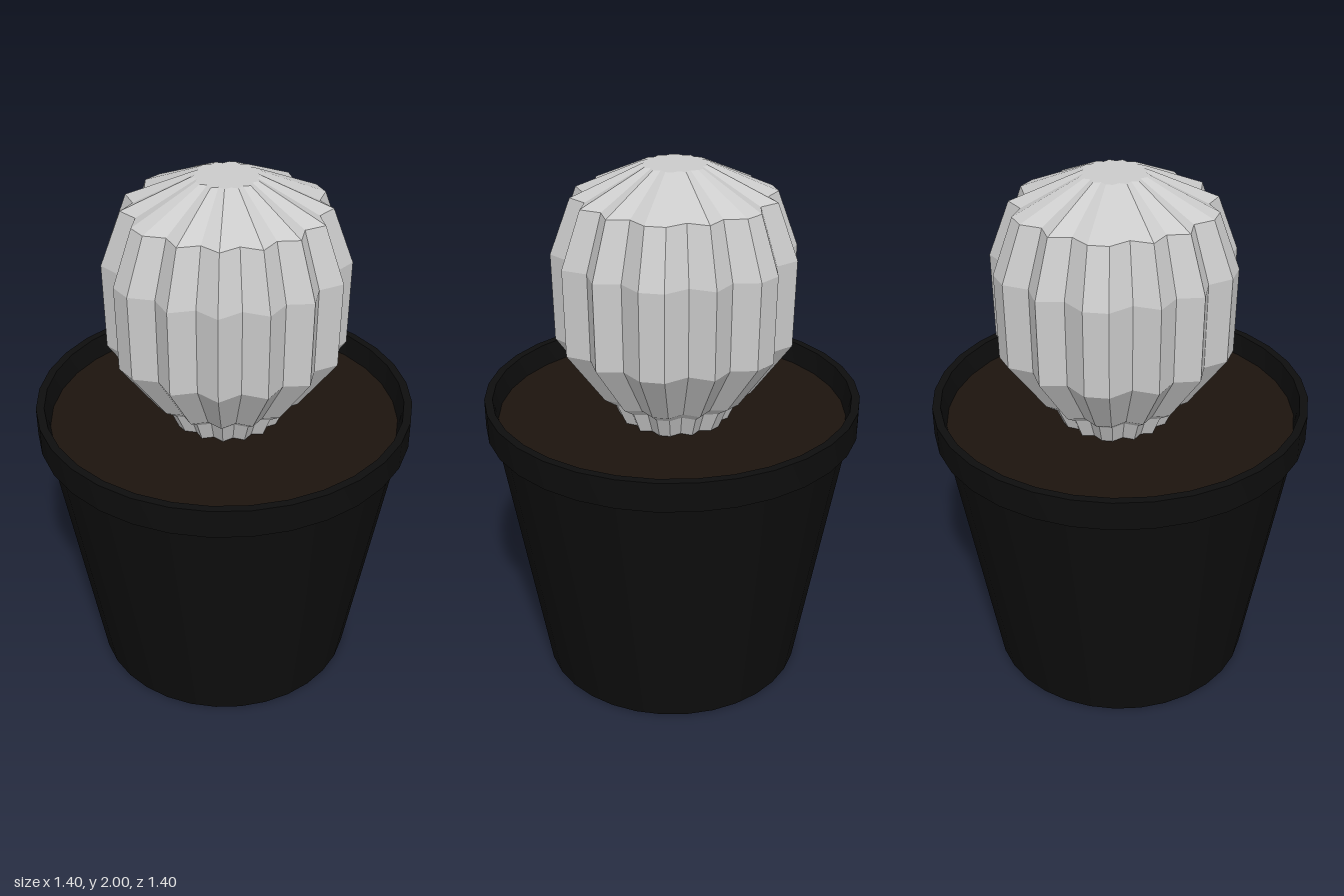
import * as THREE from 'three';
import { toCreasedNormals } from 'three/addons/utils/BufferGeometryUtils.js';

const SIDES = 32;

function lathe(name, profile, color) {
  const points = profile.map(([r, y]) => new THREE.Vector2(r, y));
  const geometry = toCreasedNormals(new THREE.LatheGeometry(points, SIDES), 0.5);
  const mesh = new THREE.Mesh(geometry, new THREE.MeshStandardMaterial({ color }));
  mesh.name = name;
  return mesh;
}

// Ribbed body: stacked star-shaped rings, closed at both ends
function cactusBody() {
  const rings = [[0.2, 1.04], [0.24, 1.13], [0.29, 1.165], [0.435, 1.37], [0.44, 1.69], [0.365, 1.89], [0.12, 2]];
  // Corners that stand out as ridges; a few ridges are two corners wide
  const ridges = new Set([0, 2, 4, 6, 8, 10, 12, 13, 15, 17, 18, 20, 22, 23, 25, 27, 29, 30]);
  const positions = [];
  const index = [];

  for (const [radius, y] of rings) {
    for (let k = 0; k < SIDES; k++) {
      const angle = (k / SIDES) * Math.PI * 2;
      const r = radius * (ridges.has(k) ? 1 : 0.885);
      positions.push(r * Math.sin(angle), y, r * Math.cos(angle));
    }
  }
  const bottom = rings.length * SIDES;
  const top = bottom + 1;
  positions.push(0, rings[0][1], 0, 0, rings[rings.length - 1][1], 0);

  for (let k = 0; k < SIDES; k++) {
    const next = (k + 1) % SIDES;
    for (let i = 0; i < rings.length - 1; i++) {
      const a = i * SIDES + k;
      const b = i * SIDES + next;
      index.push(a, b, b + SIDES, a, b + SIDES, a + SIDES);
    }
    const last = (rings.length - 1) * SIDES;
    index.push(bottom, next, k, top, last + k, last + next);
  }

  const geometry = new THREE.BufferGeometry();
  geometry.setAttribute('position', new THREE.Float32BufferAttribute(positions, 3));
  geometry.setIndex(index);
  geometry.computeVertexNormals();
  const mesh = new THREE.Mesh(geometry, new THREE.MeshStandardMaterial({ color: 0xcccccc, flatShading: true }));
  mesh.name = 'cactusBody';
  mesh.position.z = -0.02;
  return mesh;
}

export function createModel() {
  const group = new THREE.Group();
  group.name = 'pottedCactus';

  // Tapered pot with an overhanging rim and a shallow inner lip
  group.add(lathe('pot', [
    [0, 0], [0.505, 0], [0.67, 1.02], [0.7, 1.02], [0.7, 1.13], [0.67, 1.13], [0.65, 1.04],
  ], 0x0d0d0d));

  // Flat soil just below the rim
  group.add(lathe('soil', [[0.655, 1.05], [0, 1.05]], 0x1c140e));

  group.add(cactusBody());
  return group;
}
